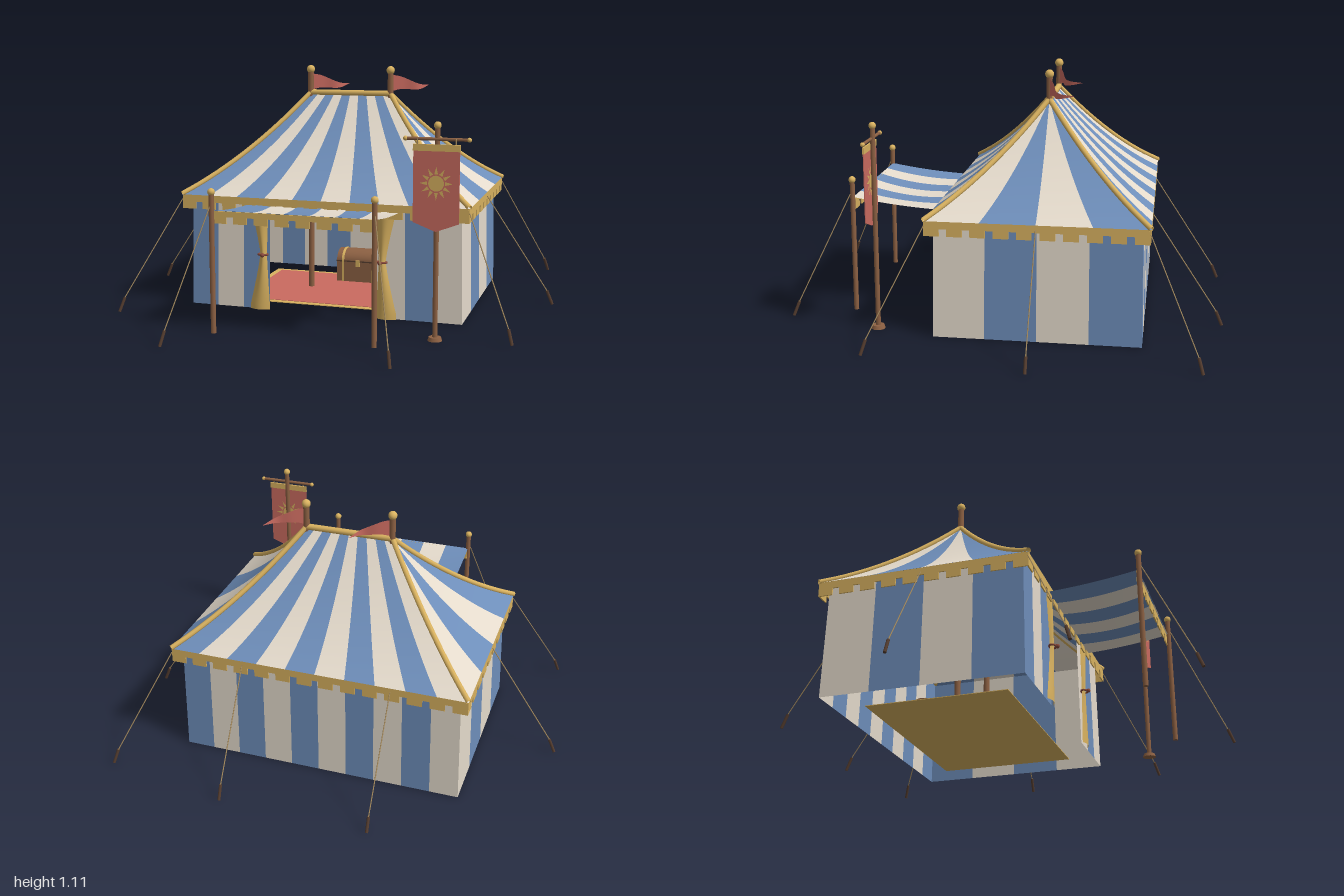
import * as THREE from 'three';

const V = (x, y, z) => new THREE.Vector3(x, y, z);
const material = (name, color, side = THREE.FrontSide) =>
  Object.assign(new THREE.MeshStandardMaterial({ color, side }), { name });

const blue = material('blue canvas', 0x6e8eba, THREE.DoubleSide);
const cream = material('cream canvas', 0xe5dbcc, THREE.DoubleSide);
const gold = material('gold trim', 0xd9b260, THREE.DoubleSide);
const red = material('red cloth', 0xca6b60, THREE.DoubleSide);
const brown = material('brown wood', 0x8d6143);
const dark = material('dark wood', 0x553d2f);
const ropeMat = material('rope', 0xa88d60);
const deepRed = material('deep red cord', 0x8a4a3c);

const CZ = -0.17; // tent centre in z

export function createModel() {
  const root = new THREE.Group();
  root.name = 'pavilionTent';

  const add = (name, geo, mat, x = 0, y = 0, z = 0, parent = root) => {
    const m = new THREE.Mesh(geo, mat);
    m.name = name;
    m.position.set(x, y, z);
    parent.add(m);
    return m;
  };
  const box = (w, h, d) => new THREE.BoxGeometry(w, h, d);
  const ball = (name, r, x, y, z) => add(name, new THREE.SphereGeometry(r, 16, 12), gold, x, y, z);
  const rod = (name, a, b, r, mat, seg = 12) => {
    const d = b.clone().sub(a);
    const m = add(name, new THREE.CylinderGeometry(r, r, d.length(), seg), mat);
    m.position.copy(a).addScaledVector(d, 0.5);
    m.quaternion.setFromUnitVectors(V(0, 1, 0), d.normalize());
    return m;
  };
  // Grid surface from a rule f(u, v); u runs right and v up when seen from its front
  const sheet = (f, nu, nv) => {
    const pos = [], idx = [];
    for (let j = 0; j <= nv; j++)
      for (let i = 0; i <= nu; i++) pos.push(...f(i / nu, j / nv).toArray());
    for (let j = 0; j < nv; j++)
      for (let i = 0; i < nu; i++) {
        const a = j * (nu + 1) + i, b = a + 1, c = a + nu + 1, d = c + 1;
        idx.push(a, b, d, a, d, c);
      }
    const g = new THREE.BufferGeometry();
    g.setAttribute('position', new THREE.Float32BufferAttribute(pos, 3));
    g.setIndex(idx);
    g.computeVertexNormals();
    return g;
  };
  // Crenellated cloth strip, centred on x, hanging down from y = 0
  const valance = (length, teeth, solid, drop) => {
    const s = new THREE.Shape();
    const unit = length / (teeth * 3 - 1); // tooth = 2 units, gap = 1 unit
    s.moveTo(-length / 2, 0);
    for (let i = 0; i < teeth; i++) {
      const x = -length / 2 + i * 3 * unit;
      if (i) s.lineTo(x, -solid);
      s.lineTo(x, -drop);
      s.lineTo(x + 2 * unit, -drop);
      if (i < teeth - 1) s.lineTo(x + 2 * unit, -solid);
    }
    s.lineTo(length / 2, 0);
    return new THREE.ExtrudeGeometry(s, { depth: 0.006, bevelEnabled: false });
  };

  // Rectangle corners, walking front, right, back, left
  const corners = (hx, hz, y) => [[-1, 1], [1, 1], [1, -1], [-1, -1]].map(([a, b]) => V(a * hx, y, CZ + b * hz));
  const foot = corners(0.645, 0.45, 0), head = corners(0.635, 0.442, 0.53);
  const eave = corners(0.675, 0.477, 0.525);
  const ridge = [V(-0.2, 0.975, CZ), V(0.2, 0.975, CZ), V(0.2, 0.975, CZ), V(-0.2, 0.975, CZ)];
  const roofPoint = (a, b, v) => {
    const p = a.clone().lerp(b, v);
    p.y -= 0.16 * v * (1 - v);
    return p;
  };
  const sides = ['front', 'right', 'back', 'left'];

  // Striped walls, roof panels and hip trim
  sides.forEach((side, k) => {
    const n = k % 2 ? 4 : 10, m = (k + 1) % 4;
    for (let i = 0; i < n; i++) {
      const mat = (i + (k % 2)) % 2 ? cream : blue;
      const along = (a, u) => a[k].clone().lerp(a[m], (i + u) / n);
      const opening = k === 0 && i > 2 && i < 7;
      if (!opening) add(side + 'WallStripe', sheet((u, v) => along(foot, u).lerp(along(head, u), v), 1, 1), mat);
      add(side + 'RoofStripe', sheet((u, v) => roofPoint(along(eave, u), along(ridge, u), v), 2, 12), mat);
    }
    const hip = new THREE.CatmullRomCurve3([...Array(9).keys()].map(i => roofPoint(eave[k], ridge[k], i / 8).add(V(0, 0.004, 0))));
    add('hipTrim', new THREE.TubeGeometry(hip, 20, 0.012, 8), gold);
    const edge = new THREE.Group();
    edge.name = side + 'Valance';
    const mid = eave[k].clone().lerp(eave[m], 0.5);
    edge.position.set(mid.x, 0.525, mid.z);
    edge.rotation.y = k * Math.PI / 2;
    add('valanceStrip', valance(k % 2 ? 0.952 : 1.348, k % 2 ? 10 : 14, 0.033, 0.065), gold, 0, 0, -0.007, edge);
    root.add(edge);
  });
  rod('ridgeTrim', V(-0.2, 0.978, CZ), V(0.2, 0.978, CZ), 0.014, gold);

  // Main poles with finials and wind-blown pennants
  const wind = new THREE.CatmullRomCurve3([V(0, 0, 0), V(0.06, 0, -0.026), V(0.125, 0, -0.05), V(0.157, 0, -0.13)]);
  for (const s of [-1, 1]) {
    rod('mainPole', V(s * 0.2, 0.002, CZ), V(s * 0.2, 1.08, CZ), 0.014, brown);
    ball('poleFinial', 0.02, s * 0.2, 1.09, CZ);
    add('pennant', sheet((u, v) => {
      const p = wind.getPoint(u);
      p.y = 1.028 - 0.015 * u + (v - 0.5) * 0.08 * (1 - u) + 0.006 * Math.sin(u * 7);
      return p;
    }, 16, 2), red, s * 0.2 + 0.003, 0, CZ);
  }

  // Curtains tied back beside the doorway
  for (const s of [-1, 1]) {
    add('doorCurtain', sheet((u, v) => {
      const pinch = Math.pow(Math.min(1, Math.abs(v - 0.55) / 0.5), 1.2);
      const inner = 0.266 - 0.012 * pinch, outer = 0.298 + 0.05 * pinch;
      return V(s * (inner + (outer - inner) * u), v * 0.48, 0.288 + 0.014 * Math.sin(u * Math.PI));
    }, 16, 20), gold);
    const tie = add('curtainTie', new THREE.TorusGeometry(0.022, 0.005, 8, 20), deepRed, s * 0.282, 0.262, 0.296);
    tie.rotation.x = Math.PI / 2;
    tie.scale.y = 0.7;
    add('tieKnot', new THREE.SphereGeometry(0.01, 10, 8), deepRed, s * 0.278, 0.262, 0.317);
  }

  // Gently sagging striped awning with a valance under its front edge
  for (let i = 0; i < 6; i++)
    add('awningStripe', sheet((u, v) => {
      const x = -0.357 + 0.714 * (i + u) / 6;
      const sag = v * (1 - v) * (0.03 + 0.06 * (1 - (x / 0.357) ** 2));
      return V(x, 0.535 - 0.045 * v - sag, 0.703 - 0.413 * v);
    }, 3, 12), i % 2 ? cream : blue);
  add('awningValance', valance(0.71, 8, 0.024, 0.053), gold, 0, 0.532, 0.692);

  // Rope running down to the head of a leaning stake
  const guy = (a, b) => {
    const top = b.clone().add(V(a.x - b.x, 0, a.z - b.z).setLength(0.027)).add(V(0, 0.064, 0));
    rod('guyRope', a, top, 0.0025, ropeMat, 6);
    rod('stake', b, top, 0.007, dark, 8);
  };
  for (const s of [-1, 1]) {
    rod('awningPost', V(s * 0.357, 0, 0.705), V(s * 0.357, 0.605, 0.705), 0.0115, brown);
    ball('postFinial', 0.016, s * 0.357, 0.615, 0.705);
    guy(V(s * 0.357, 0.57, 0.705), V(s * 0.488, 0.003, 0.96));
    guy(V(s * 0.675, 0.505, 0.305), V(s * 0.9, 0.003, 0.53));
    guy(V(s * 0.675, 0.505, CZ), V(s * 0.993, 0.003, CZ));
    guy(V(s * 0.337, 0.505, -0.645), V(s * 0.337, 0.003, -0.962));
  }
  guy(V(0.675, 0.505, -0.645), V(0.9, 0.003, -0.87));

  // Rug
  add('rugBorder', box(0.98, 0.003, 0.64), gold, 0, 0.0015, -0.16);
  add('rugField', box(0.92, 0.003, 0.58), red, 0, 0.0035, -0.16);

  // Treasure chest
  const chest = new THREE.Group();
  chest.name = 'chest';
  chest.position.set(0, 0.005, -0.38);
  root.add(chest);
  const lid = (r, w) => new THREE.CylinderGeometry(r, r, w, 20, 1, false, 0, Math.PI).rotateZ(Math.PI / 2);
  add('chestBody', box(0.22, 0.105, 0.14), brown, 0, 0.0525, 0, chest);
  add('chestLid', lid(0.07, 0.22), brown, 0, 0.105, 0, chest).scale.y = 0.78;
  for (const s of [-1, 1]) {
    add('chestStrap', box(0.012, 0.105, 0.146), gold, s * 0.078, 0.0525, 0, chest);
    add('lidStrap', lid(0.073, 0.012), gold, s * 0.078, 0.105, 0, chest).scale.y = 0.78;
  }
  add('chestRim', box(0.224, 0.006, 0.144), dark, 0, 0.105, 0, chest);
  add('chestLatch', box(0.022, 0.032, 0.008), gold, 0, 0.095, 0.073, chest);

  // Standing banner
  const bx = 0.577, bz = 0.54;
  rod('bannerPole', V(bx, 0, bz), V(bx, 0.9, bz), 0.011, brown);
  add('bannerBase', new THREE.CylinderGeometry(0.026, 0.031, 0.016, 20), brown, bx, 0.008, bz);
  ball('bannerFinial', 0.016, bx, 0.908, bz);
  rod('bannerCrossbar', V(bx - 0.13, 0.852, bz + 0.006), V(bx + 0.13, 0.852, bz + 0.006), 0.007, brown);
  for (const s of [-1, 1]) {
    ball('crossbarFinial', 0.01, bx + s * 0.133, 0.852, bz + 0.006);
    rod('bannerCord', V(bx + s * 0.08, 0.83, bz + 0.015), V(bx + s * 0.08, 0.855, bz + 0.015), 0.0025, ropeMat, 6);
  }
  const cloth = new THREE.Shape([[-0.097, 0.83], [-0.097, 0.505], [0, 0.468], [0.097, 0.505], [0.097, 0.83]].map(p => new THREE.Vector2(...p)));
  add('bannerCloth', new THREE.ExtrudeGeometry(cloth, { depth: 0.004, bevelEnabled: false }), red, bx, 0, bz + 0.013);
  add('bannerTopBand', box(0.198, 0.028, 0.008), gold, bx, 0.817, bz + 0.015);

  // Sun emblem on both faces: a disc with separate tapering rays
  const ray = new THREE.Shape([[-0.008, 0.038], [0.008, 0.038], [0, 0.07]].map(p => new THREE.Vector2(...p)));
  for (const z of [0.0115, 0.0185]) {
    add('sunDisc', new THREE.CircleGeometry(0.033, 24), gold, bx, 0.67, bz + z);
    for (let i = 0; i < 12; i++)
      add('sunRay', new THREE.ShapeGeometry(ray), gold, bx, 0.67, bz + z).rotation.z = i * Math.PI / 6;
  }
  return root;
}
